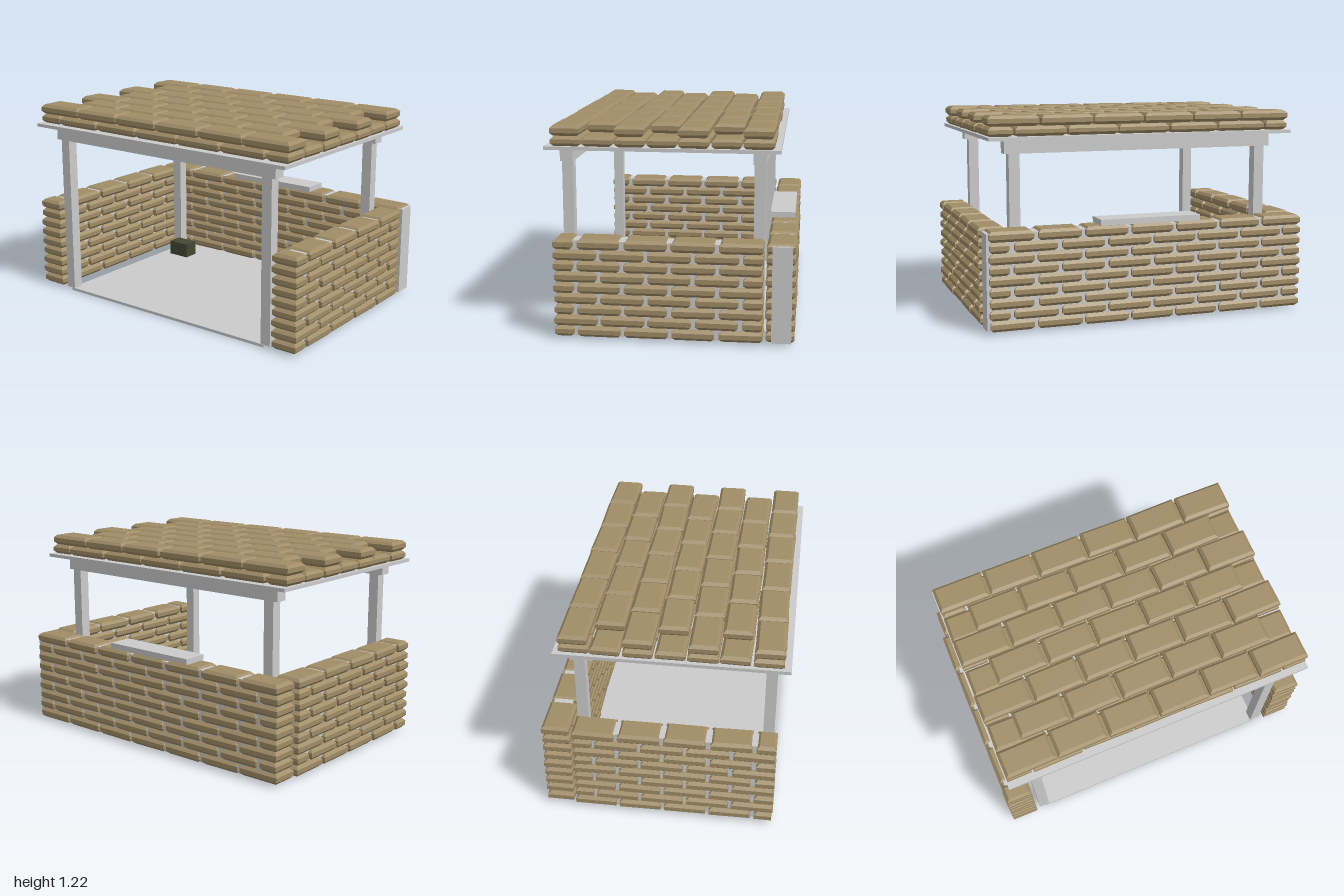
import * as THREE from 'three';
import { mergeGeometries } from 'three/addons/utils/BufferGeometryUtils.js';

const stone = new THREE.MeshStandardMaterial({ color: 0xa08c66, flatShading: true });
const grey = new THREE.MeshStandardMaterial({ color: 0xcccccc, flatShading: true });
const dark = new THREE.MeshStandardMaterial({ color: 0x434733, flatShading: true });

// seeded noise in -1..1
let seed = 7;
function jitter(amount) {
  seed = (seed * 16807) % 2147483647;
  return (seed / 2147483647 * 2 - 1) * amount;
}

// one brick: rectangular plan, bevelled along its top and bottom edges
function brick(length, height, depth, x, y, z) {
  const b = 0.017, w = length / 2 - b, d = depth / 2 - b;
  const plan = new THREE.Shape([
    new THREE.Vector2(-w, -d), new THREE.Vector2(w, -d),
    new THREE.Vector2(w, d), new THREE.Vector2(-w, d),
  ]);
  const g = new THREE.ExtrudeGeometry(plan, {
    depth: height - 2 * b, bevelEnabled: true, bevelThickness: b, bevelSize: b, bevelSegments: 1,
  });
  g.translate(0, 0, b - height / 2);
  g.rotateX(-Math.PI / 2);
  g.rotateY(jitter(0.02));
  return g.translate(x, y, z);
}

// a row of bricks along x; cells lists brick lengths in units of pitch
function course(out, start, pitch, cells, y, z, height, depth, gap) {
  let x = start;
  for (const c of cells) {
    const len = c * pitch;
    out.push(brick(len - gap + jitter(0.006), height, depth + jitter(0.004),
      x + len / 2, y, z + jitter(0.003)));
    x += len;
  }
}

const repeat = (n) => new Array(n).fill(1);

// nine-course wall along x, centred on the origin, joints staggered
function wallGeometry(length, pitch, even, odd) {
  const bricks = [];
  for (let i = 0; i < 9; i++) {
    course(bricks, -length / 2, pitch, i % 2 ? odd : even, 0.047 + i * 0.0636, 0, 0.061, 0.163, 0.024);
  }
  return mergeGeometries(bricks);
}

export function createModel() {
  const model = new THREE.Group();

  function add(name, geometry, material) {
    const mesh = new THREE.Mesh(geometry, material);
    mesh.name = name;
    model.add(mesh);
    return mesh;
  }
  // box given by its extents
  function box(name, x0, x1, y0, y1, z0, z1, material = grey) {
    const mesh = add(name, new THREE.BoxGeometry(x1 - x0, y1 - y0, z1 - z0), material);
    mesh.position.set((x0 + x1) / 2, (y0 + y1) / 2, (z0 + z1) / 2);
  }

  box('floor', -0.765, 0.765, 0, 0.017, -0.555, 0.64);

  // side walls: four and a half bricks, the half swapping ends
  for (const s of [-1, 1]) {
    const side = s > 0 ? 'left' : 'right';
    const wall = add(side + 'Wall', wallGeometry(1.2, 1.2 / 4.5, [0.5, ...repeat(4)], [...repeat(4), 0.5]), stone);
    wall.rotation.y = Math.PI / 2;
    wall.position.set(s * 0.912, 0, 0.07);
    box(side + 'WallMortar', s * 0.912 - 0.055, s * 0.912 + 0.055, 0.02, 0.575, -0.5, 0.63);
  }

  // back wall with mortar core and counter
  const back = add('backWall', wallGeometry(1.965, 1.965 / 7, repeat(7), [0.5, ...repeat(6), 0.5]), stone);
  back.position.set(-0.003, 0, -0.617);
  box('backWallMortar', -0.95, 0.982, 0.02, 0.575, -0.68, -0.568);
  box('counter', -0.31, 0.31, 0.585, 0.62, -0.68, -0.53);

  // posts and cross beams
  for (const z of [0.605, -0.487]) {
    for (const s of [-1, 1]) {
      box('post', s * 0.775 - 0.032, s * 0.775 + 0.032, 0.015, 1.0, z - 0.032, z + 0.032);
    }
    box('beam', -0.838, 0.835, 1.0, 1.08, z - 0.037, z + 0.037);
  }

  // roof board with two layers of bricks in seven rows
  box('roofBoard', -0.945, 0.94, 1.08, 1.1, -0.605, 0.71);
  const roof = [], pitch = 1.885 / 6, left = -0.943;
  for (let r = 0; r < 7; r++) {
    const z = 0.587 - r * 0.179;
    const full = repeat(6), halves = [0.5, ...repeat(5), 0.5];
    course(roof, left, pitch, r % 2 ? full : halves, 1.128, z, 0.056, 0.168, 0.012);
    if (r % 2) course(roof, left + pitch / 2, pitch, repeat(5), 1.188, z, 0.06, 0.168, 0.012);
    else course(roof, left, pitch, full, 1.188, z, 0.06, 0.168, 0.012);
  }
  add('roofBricks', mergeGeometries(roof), stone);

  // small dark crates on the floor
  box('rightCrate', -0.70, -0.55, 0.017, 0.112, -0.38, -0.28, dark);
  box('leftCrate', 0.52, 0.67, 0.017, 0.112, -0.38, -0.28, dark);

  return model;
}
